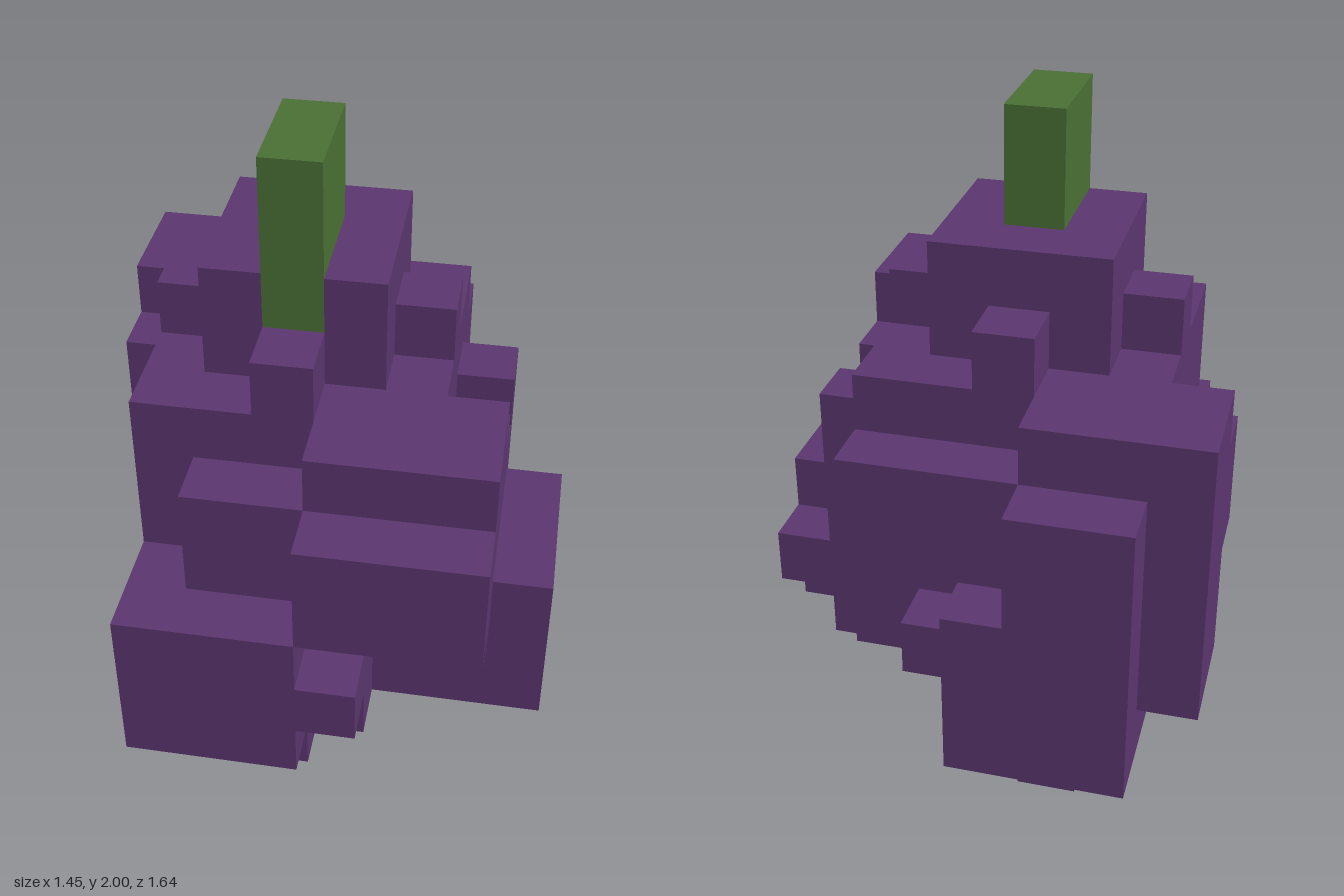
import * as THREE from 'three';

const U = 2 / 11; // one grid cell

export function createModel() {
  const model = new THREE.Group();
  const purple = new THREE.MeshStandardMaterial({ color: 0x5b366f });
  purple.name = 'purple skin';
  const green = new THREE.MeshStandardMaterial({ color: 0x4a7034 });
  green.name = 'green stem';

  // Box between grid lines: x 0..8, y 0..11, z 0..9 (back to front)
  function block(name, x0, x1, y0, y1, z0, z1, material = purple) {
    const mesh = new THREE.Mesh(
      new THREE.BoxGeometry((x1 - x0) * U, (y1 - y0) * U, (z1 - z0) * U), material);
    mesh.position.set(((x0 + x1) / 2 - 4) * U, ((y0 + y1) / 2) * U, ((z0 + z1) / 2 - 4.5) * U);
    mesh.name = name;
    model.add(mesh);
  }

  // Stem, set into the front of the crown
  block('stem', 3, 4, 8, 11, 4, 6, green);

  // Crown and the shoulder bumps around it
  block('crownBase', 2, 5, 7, 8, 3, 6);
  block('crownRight', 2, 3, 8, 9, 3, 6);
  block('crownLeft', 4, 5, 8, 9, 3, 6);
  block('crownBack', 3, 4, 8, 9, 3, 4);
  for (const [x, z] of [[3, 6], [3, 2], [1, 4], [5, 4]]) {
    block('shoulderBump', x, x + 1, 7, 8, z, z + 1);
  }

  // Main body
  block('body', 1, 6, 1, 7, 3, 7);
  block('upperBack', 1, 6, 3, 7, 2, 3);
  block('lowerBack', 1, 4, 1, 6, 1, 3);

  // Back lobes
  block('backLeftLobe', 3, 6, 4, 6, 1, 2);
  block('backLeftBar', 4, 5, 2, 3, 1, 3);
  block('backRightLobe', 0, 3, 2, 7, 1, 3);
  block('rightNub', 0, 1, 4, 6, 3, 4);
  block('backPanel', 1, 3, 1, 6, 0, 1);
  block('backPanelStep', 3, 4, 1, 4, 0, 1);

  // Left flank, stepping up towards the front
  block('leftFlank', 6, 7, 1, 5, 3, 7);
  block('leftFlankBump', 6, 7, 5, 6, 3, 4);
  block('leftFlankStep', 6, 7, 5, 6, 5, 7);
  block('leftFlankTop', 6, 7, 6, 7, 6, 7);
  block('leftLobe', 7, 8, 1, 4, 4, 7);
  block('leftNub', 7, 8, 2, 3, 3, 4);

  // Front lobes
  block('frontLeftLobe', 4, 7, 4, 7, 7, 8);
  block('frontLeftDrop', 6, 7, 3, 4, 7, 8);
  block('frontMiddle', 4, 5, 1, 4, 7, 8);
  block('frontLeftPanel', 4, 7, 4, 6, 8, 9);
  block('frontNub', 4, 5, 2, 3, 8, 9);
  block('frontRightLobe', 1, 4, 1, 4, 7, 9);
  block('frontRightStep', 2, 4, 4, 6, 7, 8);

  // Feet
  block('backFoot', 2, 3, 0, 1, 1, 3);
  block('leftFoot', 6, 7, 0, 1, 4, 6);
  block('middleFoot', 3, 4, 0, 1, 4, 5);
  block('frontFoot', 2, 4, 0, 1, 7, 8);
  block('frontFootHeel', 2, 3, 0, 1, 6, 7);

  return model;
}
